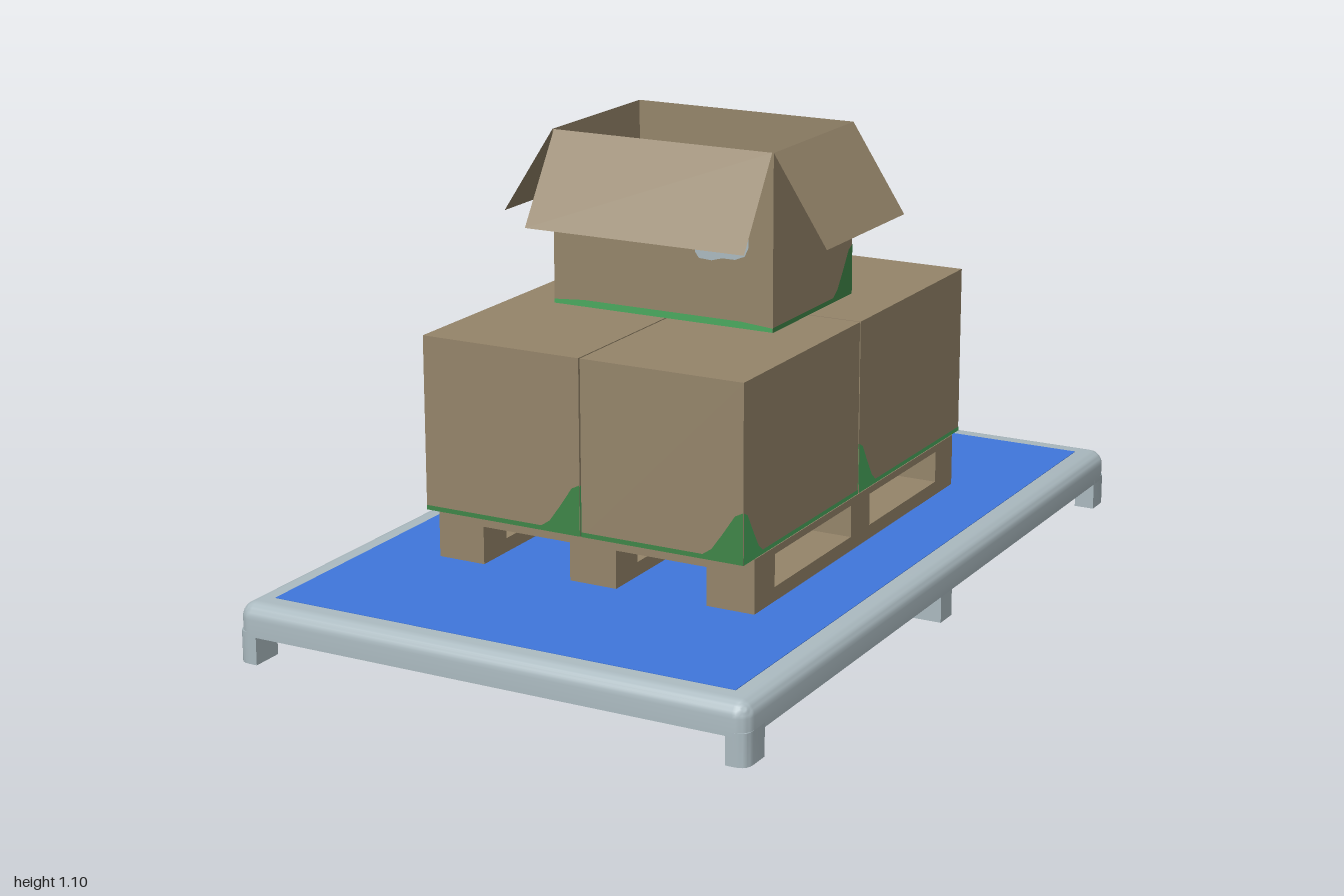
import * as THREE from 'three';
import { toCreasedNormals } from 'three/addons/utils/BufferGeometryUtils.js';
import { RoundedBoxGeometry } from 'three/addons/geometries/RoundedBoxGeometry.js';

const material = (name, color, side = THREE.FrontSide) => {
  const m = new THREE.MeshStandardMaterial({ color, side });
  m.name = name;
  return m;
};
const cardboard = material('cardboard brown', 0x95856a, THREE.DoubleSide);
const metal = material('metal grey', 0xabbac0);
const blue = material('mat blue', 0x4077dc);
const darkGreen = material('dark green', 0x3f8648);
const lightGreen = material('light green', 0x4aa95e);

function add(parent, name, geometry, mat, x = 0, y = 0, z = 0) {
  const mesh = new THREE.Mesh(geometry, mat);
  mesh.name = name;
  mesh.position.set(x, y, z);
  parent.add(mesh);
  return mesh;
}

// Box given by its lower and upper bounds
function slab(parent, name, mat, x0, x1, y0, y1, z0, z1) {
  return add(parent, name, new THREE.BoxGeometry(x1 - x0, y1 - y0, z1 - z0), mat,
    (x0 + x1) / 2, (y0 + y1) / 2, (z0 + z1) / 2);
}

// Carton dimensions
const W = 0.407, H = 0.413, D = 0.573;

// Printed area on a carton side; points are measured from the bottom middle of that side
function print(parent, name, mat, points, angle, distance) {
  const shape = new THREE.Shape(points.map(([x, y]) => new THREE.Vector2(x, y)));
  const mesh = add(parent, name, new THREE.ShapeGeometry(shape), mat,
    Math.sin(angle) * distance, 0, Math.cos(angle) * distance);
  mesh.rotation.y = angle;
}

// Bottom stripe, rising to a swept wedge in the corner on the given side
function stripe(width, height, cornerSide = 0, wedge = 0) {
  const h = width / 2;
  if (!cornerSide) {
    return [[-h, 0], [h, 0], [h, height * 0.6], [h - 0.08, height], [-h + 0.08, height], [-h, height * 0.6]];
  }
  return [[-h, 0], [h, 0], [h, 0.12], [h - wedge * 0.2, 0.11], [h - wedge * 0.5, 0.065],
    [h - wedge * 0.78, 0.026], [h - wedge, height], [-h, height]]
    .map(([x, y]) => [x * cornerSide, y]);
}

const labelOutline = [[0.088, 0.165], [0.098, 0.152], [0.13, 0.15], [0.158, 0.158], [0.19, 0.158],
  [0.215, 0.168], [0.225, 0.19], [0.225, 0.27], [0.215, 0.295], [0.17, 0.295], [0.15, 0.288],
  [0.115, 0.288], [0.098, 0.28], [0.088, 0.262]];

function makeCarton(name, open) {
  const carton = new THREE.Group();
  carton.name = name;
  if (open) {
    // Thin walls and floor
    for (const s of [-1, 1]) {
      add(carton, 'wall', new THREE.PlaneGeometry(W, H), cardboard, 0, H / 2, s * D / 2)
        .rotation.y = s > 0 ? 0 : Math.PI;
      add(carton, 'wall', new THREE.PlaneGeometry(D, H), cardboard, s * W / 2, H / 2, 0)
        .rotation.y = s * Math.PI / 2;
    }
    add(carton, 'floor', new THREE.PlaneGeometry(W, D), cardboard, 0, 0.003, 0).rotation.x = -Math.PI / 2;
    // Four lid flaps folded outward and down
    for (let i = 0; i < 4; i++) {
      const longSide = i % 2 === 1;
      const flap = new THREE.PlaneGeometry(longSide ? D - 0.008 : W, 0.246);
      flap.translate(0, -0.123, 0);
      flap.rotateX(-0.575);
      flap.translate(0, H, (longSide ? W : D) / 2);
      add(carton, 'flap', flap, cardboard).rotation.y = i * Math.PI / 2;
    }
  } else {
    add(carton, 'cartonBody', new THREE.BoxGeometry(W, H, D), cardboard, 0, H / 2, 0);
  }
  // Printed stripes and label
  const e = 0.0012;
  print(carton, 'frontStripe', darkGreen, stripe(W, 0.011, 1, 0.1), 0, D / 2 + e);
  print(carton, 'sideStripe', lightGreen, stripe(D, 0.01, -1, 0.09), Math.PI / 2, W / 2 + e);
  print(carton, 'backStripe', darkGreen, stripe(W, 0.012), Math.PI, D / 2 + e);
  print(carton, 'labelSideStripe', lightGreen, stripe(D, 0.016), -Math.PI / 2, W / 2 + e);
  print(carton, 'label', metal, labelOutline, -Math.PI / 2, W / 2 + e);
  return carton;
}

function makePlatform() {
  const platform = new THREE.Group();
  platform.name = 'platform';

  // Deck: rounded above, flattened underneath
  const deck = new RoundedBoxGeometry(1.28, 0.16, 2, 4, 0.035);
  deck.translate(0, 0.06, 0);
  const p = deck.attributes.position;
  for (let i = 0; i < p.count; i++) p.setY(i, Math.max(p.getY(i), 0.065));
  add(platform, 'deck', toCreasedNormals(deck, 0.7), metal);
  slab(platform, 'deckMat', blue, -0.58, 0.58, 0.139, 0.1412, -0.935, 0.935);

  // Corner feet with a rounded outer corner, and a middle crossbeam
  for (const sx of [-1, 1]) for (const sz of [-1, 1]) {
    const s = new THREE.Shape();
    s.moveTo(sx * 0.59, sz * 0.92);
    s.lineTo(sx * 0.64, sz * 0.92);
    s.lineTo(sx * 0.64, sz * 0.97);
    s.quadraticCurveTo(sx * 0.64, sz, sx * 0.61, sz);
    s.lineTo(sx * 0.59, sz);
    s.closePath();
    const foot = new THREE.ExtrudeGeometry(s, { depth: 0.075, bevelEnabled: false, curveSegments: 5 });
    foot.rotateX(Math.PI / 2);
    foot.translate(0, 0.075, 0);
    add(platform, 'foot', toCreasedNormals(foot, 0.6), metal);
  }
  slab(platform, 'crossbeam', metal, -0.638, 0.638, 0, 0.067, -0.03, 0.03);

  // Post with a thick head at the back corner
  const post = new THREE.Group();
  post.name = 'cornerPost';
  post.position.set(-0.594, 0, -0.943);
  add(post, 'rod', new THREE.CylinderGeometry(0.008, 0.008, 0.18, 16), metal, 0, 0.22, 0);
  add(post, 'head', new THREE.CylinderGeometry(0.029, 0.029, 0.204, 24), metal, 0, 0.407, 0);
  platform.add(post);
  return platform;
}

function makePallet() {
  const pallet = new THREE.Group();
  pallet.name = 'pallet';
  const z0 = -0.535, z1 = 0.525;
  const blockRows = [[-0.535, -0.436], [-0.06, 0.04], [0.428, 0.525]];
  for (const x of [-0.35, 0, 0.35]) {
    slab(pallet, 'runner', cardboard, x - 0.06, x + 0.06, 0.14, 0.175, z0, z1);
    for (const [a, b] of blockRows) {
      slab(pallet, 'block', cardboard, x - 0.06, x + 0.06, 0.175, 0.232, a, b);
    }
  }
  for (const [a, b] of blockRows) {
    slab(pallet, 'crossBoard', cardboard, -0.41, 0.41, 0.232, 0.252, a, b);
  }
  for (const s of [-1, 1]) for (const [a, b] of [[0.015, 0.124], [0.152, 0.261], [0.29, 0.41]]) {
    slab(pallet, 'topBoard', cardboard, Math.min(s * a, s * b), Math.max(s * a, s * b), 0.252, 0.269, z0, z1);
  }
  return pallet;
}

export function createModel() {
  const model = new THREE.Group();
  model.name = 'loadedPalletPlatform';
  model.add(makePlatform(), makePallet());

  // Four closed cartons with narrow gaps, and an open one turned sideways on top
  for (const sx of [-1, 1]) for (const sz of [-1, 1]) {
    const carton = makeCarton('closedCarton', false);
    carton.position.set(sx * 0.2055 - 0.001, 0.27, sz * 0.2885);
    model.add(carton);
  }
  const openCarton = makeCarton('openCarton', true);
  openCarton.position.set(0, 0.69, 0);
  openCarton.rotation.y = Math.PI / 2;
  model.add(openCarton);
  return model;
}
